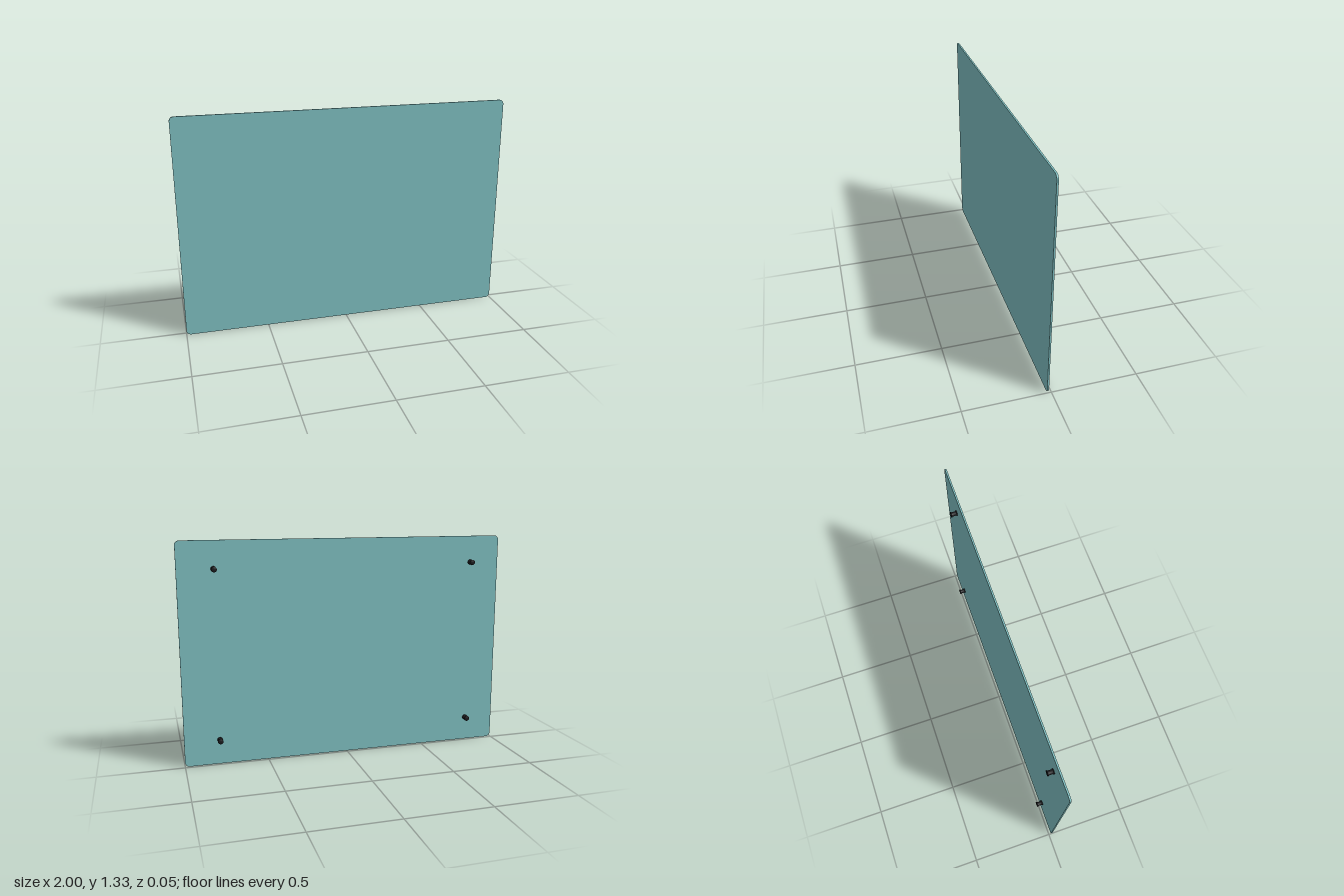
import * as THREE from 'three';

const WIDTH = 2, HEIGHT = 1.333, CORNER = 0.027;
const BACK = -0.024, PANEL_BACK = 0.014, PANEL_FRONT = 0.024;

// Upright rectangle with rounded corners, standing on y = 0
function roundedRect(w, h, r) {
  const s = new THREE.Shape();
  s.absarc(w / 2 - r, r, r, -Math.PI / 2, 0);
  s.absarc(w / 2 - r, h - r, r, 0, Math.PI / 2);
  s.absarc(-w / 2 + r, h - r, r, Math.PI / 2, Math.PI);
  s.absarc(-w / 2 + r, r, r, Math.PI, Math.PI * 1.5);
  s.closePath();
  return s;
}

export function createModel() {
  const group = new THREE.Group();
  const glass = new THREE.MeshStandardMaterial({ color: 0x7fc0c2 });
  const rubber = new THREE.MeshStandardMaterial({ color: 0x1c1c1f });

  // Thin glass board
  const panel = new THREE.Mesh(
    new THREE.ExtrudeGeometry(roundedRect(WIDTH, HEIGHT, CORNER), {
      depth: PANEL_FRONT - PANEL_BACK, bevelEnabled: false, curveSegments: 10,
    }), glass);
  panel.name = 'glassPanel';
  panel.position.z = PANEL_BACK;
  group.add(panel);

  // Wall standoff: a flange at each end of a narrower neck
  const length = PANEL_BACK - BACK, rim = 0.016, neck = 0.0125, lip = 0.007;
  const profile = [
    [0, 0], [rim, 0], [rim, lip], [neck, lip],
    [neck, length - lip], [rim, length - lip], [rim, length], [0, length],
  ].map(([r, y]) => new THREE.Vector2(r, y));
  const standoff = new THREE.LatheGeometry(profile, 28);
  standoff.rotateX(Math.PI / 2);

  // One standoff near each corner
  for (const [side, x] of [['Right', -0.81], ['Left', 0.79]]) {
    for (const [level, y] of [['lower', 0.15], ['upper', 1.17]]) {
      const mesh = new THREE.Mesh(standoff, rubber);
      mesh.name = `${level}${side}Standoff`;
      mesh.position.set(x, y, BACK);
      group.add(mesh);
    }
  }
  return group;
}
